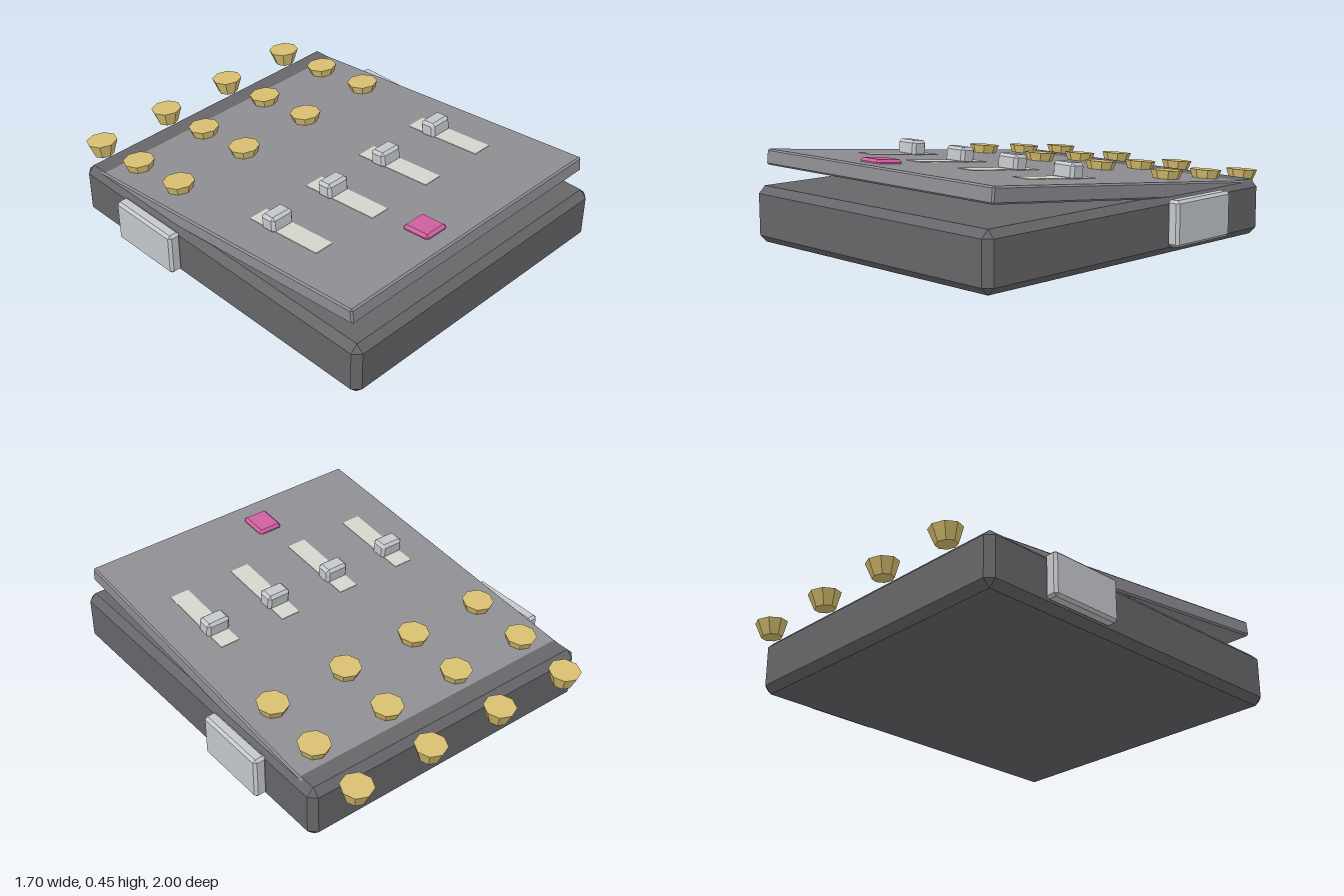
import * as THREE from 'three';
import { ConvexGeometry } from 'three/addons/geometries/ConvexGeometry.js';

const material = (color) => new THREE.MeshStandardMaterial({ color, flatShading: true });

// Box with every edge and corner cut by c
function chamferBox(w, h, d, c) {
  const pts = [];
  for (const x of [-1, 1]) for (const y of [-1, 1]) for (const z of [-1, 1])
    for (let axis = 0; axis < 3; axis++) {
      const [a, b, e] = [0, 1, 2].map((i) => (i === axis ? 0 : c));
      pts.push(new THREE.Vector3(x * (w / 2 - a), y * (h / 2 - b), z * (d / 2 - e)));
    }
  return new ConvexGeometry(pts);
}

function add(parent, name, geometry, mat, x, y, z) {
  const mesh = new THREE.Mesh(geometry, mat);
  mesh.name = name;
  mesh.position.set(x, y, z);
  parent.add(mesh);
  return mesh;
}

export function createModel() {
  const model = new THREE.Group();
  model.name = 'controlConsole';
  const dark = material(0x666569);
  const grey = material(0x8e8e93);
  const silver = material(0xc4c8cc);
  const cream = material(0xd6d5cc);
  const gold = material(0xd8c070);
  const pink = material(0xd060a0);

  // Base and its side brackets
  add(model, 'base', chamferBox(1.58, 0.27, 1.84, 0.035), dark, 0, 0.135, 0.08);
  for (const s of [-1, 1])
    add(model, s > 0 ? 'leftBracket' : 'rightBracket',
      chamferBox(0.065, 0.215, 0.39, 0.013), silver, s * 0.818, 0.148, -0.32);

  // Tilted panel; its top surface is local y = 0
  const panel = new THREE.Group();
  panel.name = 'tiltedPanel';
  panel.position.set(0, 0.344, 0);
  panel.rotation.x = -0.103;
  model.add(panel);
  add(panel, 'panelPlate', chamferBox(1.53, 0.075, 1.75, 0.008), grey, 0, -0.0375, 0.07);

  // Three rows of flared eight-sided knobs
  const knobGeometry = new THREE.CylinderGeometry(0.077, 0.05, 0.075, 8);
  for (const z of [-0.925, -0.63, -0.33])
    for (const x of [-0.615, -0.205, 0.205, 0.615])
      add(panel, 'knob', knobGeometry, gold, x, 0.003, z);

  // Sliders in their slots
  const slotGeometry = new THREE.BoxGeometry(0.1, 0.012, 0.425);
  const sliderGeometry = chamferBox(0.125, 0.08, 0.083, 0.014);
  for (const x of [-0.527, -0.177, 0.175, 0.525]) {
    add(panel, 'sliderSlot', slotGeometry, cream, x, -0.003, 0.335);
    add(panel, 'sliderCap', sliderGeometry, silver, x, 0.031, 0.252);
  }

  // Push button
  add(panel, 'pushButton', chamferBox(0.132, 0.05, 0.15, 0.013), pink, -0.133, -0.006, 0.775);
  return model;
}
